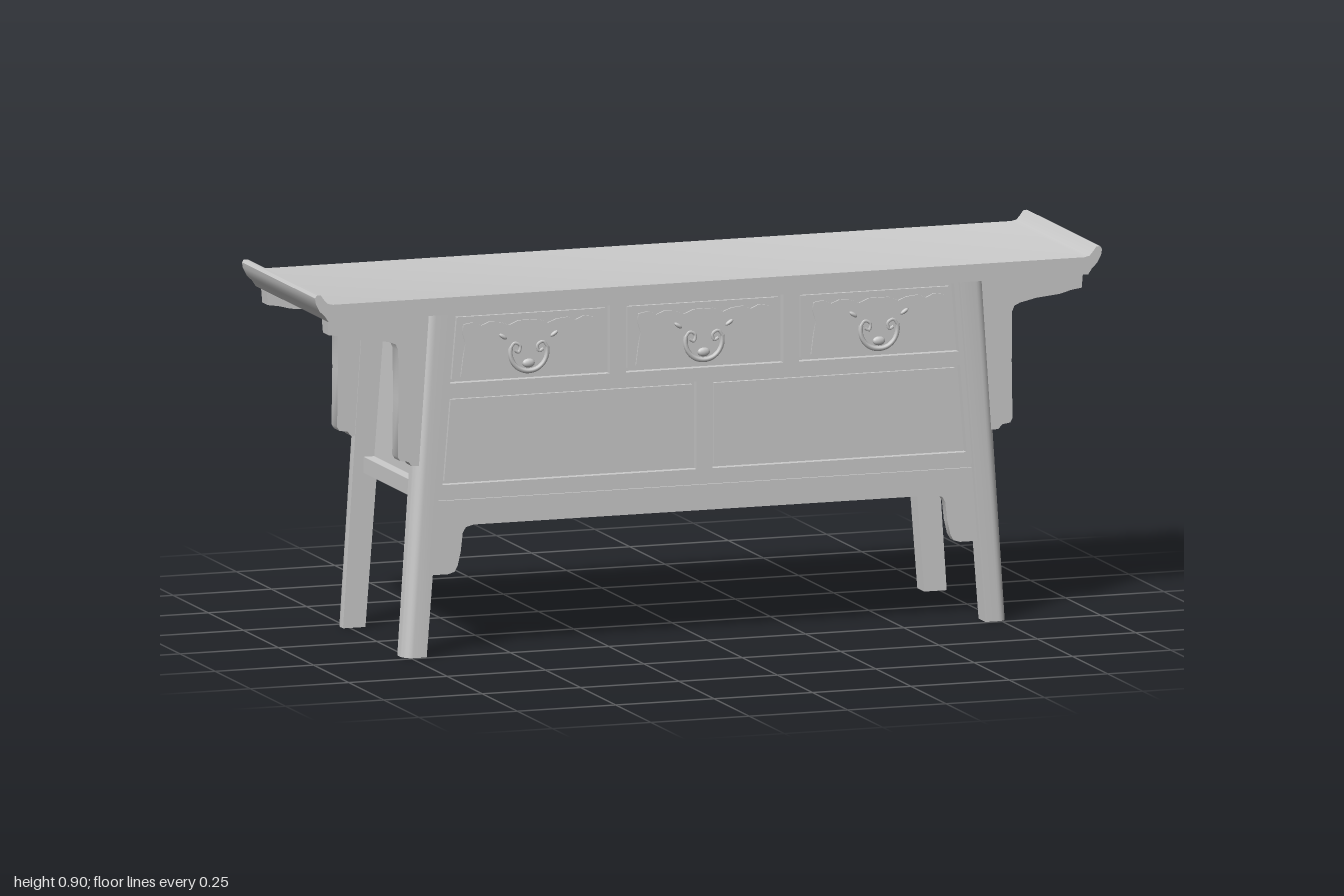
import * as THREE from 'three';
import { toCreasedNormals } from 'three/addons/utils/BufferGeometryUtils.js';

const wood = new THREE.MeshStandardMaterial({ color: 0xcccccc });
wood.name = 'plainGrey';

const TOP = 0.833;                          // underside of the table top
const inner = (y) => 0.71 - 0.078 * y;      // inner edge of the splayed legs
const outer = (y) => 0.767 - 0.066 * y;     // outer edge of the splayed legs
const V = (pts) => pts.map(([x, y]) => new THREE.Vector2(x, y));
const flip = (pts) => pts.map(([x, y]) => [-x, y]);
const both = (pts) => [...pts, ...flip(pts).reverse()];

export function createModel() {
  const model = new THREE.Group();
  model.name = 'altarTable';

  const add = (name, geo) => {
    const mesh = new THREE.Mesh(geo, wood);
    mesh.name = name;
    model.add(mesh);
    return mesh;
  };
  // Outline in x/y, extruded from z0 to z1
  const slab = (name, pts, z0, z1, holes = []) => {
    const shape = new THREE.Shape(V(pts));
    holes.forEach((h) => shape.holes.push(new THREE.Path(V(h))));
    const geo = new THREE.ExtrudeGeometry(shape, { depth: z1 - z0, bevelEnabled: false });
    geo.translate(0, 0, z0);
    return add(name, toCreasedNormals(geo, 0.6));
  };
  const box = (name, w, y0, y1, z0, z1) => {
    const geo = new THREE.BoxGeometry(w, y1 - y0, z1 - z0);
    geo.translate(0, (y0 + y1) / 2, (z0 + z1) / 2);
    return add(name, geo);
  };

  // Top with upturned ends
  slab('tableTop', both([
    [0.965, TOP], [0.975, 0.848], [0.988, 0.86], [0.998, 0.88], [1, 0.893], [0.995, 0.9],
    [0.985, 0.899], [0.977, 0.888], [0.968, 0.878], [0.955, 0.875],
  ]), -0.26, 0.26);

  // Splayed legs, rounded on the outward side, with stepped brackets
  for (const sx of [1, -1]) for (const sz of [1, -1]) {
    const section = [[0, 0.193], [1, 0.193], [1, 0.213]];
    for (let i = 1; i <= 6; i++) {
      const a = (i / 6) * Math.PI / 2;
      section.push([0.6 + 0.4 * Math.cos(a), 0.213 + 0.03 * Math.sin(a)]);
    }
    section.push([0, 0.243]);
    const shape = new THREE.Shape(V(section.map(([u, z]) => [sx * u, -sz * z])));
    const geo = new THREE.ExtrudeGeometry(shape, { depth: TOP, bevelEnabled: false });
    geo.rotateX(-Math.PI / 2);
    const p = geo.attributes.position;
    for (let i = 0; i < p.count; i++) {
      const y = p.getY(i), u = Math.abs(p.getX(i));
      p.setX(i, sx * (inner(y) + u * (outer(y) - inner(y))));
    }
    add('leg', toCreasedNormals(geo, 0.6));

    const bracket = [
      [0.69, TOP], [0.96, TOP], [0.957, 0.797], [0.93, 0.793], [0.9, 0.785], [0.84, 0.779],
      [0.8, 0.77], [0.786, 0.764], [0.78, 0.75], [0.779, 0.63], [0.781, 0.49], [0.775, 0.48],
      [0.755, 0.477], [0.745, 0.466], [0.715, 0.465],
    ];
    slab('sideBracket', sx > 0 ? bracket : flip(bracket), sz > 0 ? 0.196 : -0.236, sz > 0 ? 0.236 : -0.196);
  }

  // Cabinet body, bottom board and top rail
  slab('cabinetBody', both([[inner(0.4) + 0.01, 0.4], [inner(TOP) + 0.01, TOP]]), -0.21, 0.212);
  box('bottomBoard', 1.43, 0.375, 0.414, -0.193, 0.193);
  box('bottomBoardMiddle', 1.36, 0.375, 0.414, -0.21, 0.215);
  box('topRail', 1.36, 0.795, TOP, -0.193, 0.193);

  // Front frame with openings for the drawers
  const edge = (y) => inner(y) - 0.012;
  const sideTop = [[0.24, 0.66], [edge(0.66), 0.66], [edge(0.826), 0.826], [0.24, 0.826]];
  const lower = [[0.02, 0.414], [edge(0.414), 0.414], [edge(0.627), 0.627], [0.02, 0.627]];
  const openings = [
    sideTop, flip(sideTop), lower, flip(lower),
    [[-0.2, 0.66], [0.2, 0.66], [0.2, 0.826], [-0.2, 0.826]],
  ];
  slab('frontFrame', both([[inner(0.385), 0.385], [inner(TOP), TOP]]), 0.205, 0.232, openings);

  // Drawer fronts, shrunk a little inside each opening to leave a groove
  for (const o of openings) {
    const cx = (o[0][0] + o[1][0] + o[2][0] + o[3][0]) / 4;
    const cy = (o[0][1] + o[2][1]) / 2;
    slab('drawerFront', o.map(([x, y]) => [
      x - Math.sign(x - cx) * 0.008, y - Math.sign(y - cy) * 0.008,
    ]), 0.21, 0.221);
  }

  // Carved upper drawers: scalloped plate and curled pull
  for (const cx of [-0.445, 0, 0.445]) {
    const plate = both([
      [0.172, 0.674], [0.166, 0.72], [0.16, 0.755], [0.168, 0.78], [0.165, 0.8], [0.14, 0.804],
      [0.12, 0.795], [0.1, 0.803], [0.07, 0.8], [0.05, 0.792], [0.025, 0.802],
    ]).map(([x, y]) => [x + cx, y]);
    slab('carvedPlate', plate, 0.22, 0.226);

    const ring = new THREE.TorusGeometry(0.047, 0.006, 6, 24, Math.PI * 1.15);
    ring.rotateZ(-Math.PI * 1.075);
    ring.translate(cx, 0.725, 0.227);
    add('carvedRing', ring);
    for (const s of [1, -1]) {
      const curl = new THREE.CatmullRomCurve3([
        [0.047, 0.735], [0.036, 0.748], [0.022, 0.74], [0.026, 0.725], [0.036, 0.73],
      ].map(([x, y]) => new THREE.Vector3(cx + s * x, y, 0.227)));
      add('carvedCurl', new THREE.TubeGeometry(curl, 16, 0.004, 6));
      const leaf = new THREE.SphereGeometry(1, 10, 6);
      leaf.scale(0.012, 0.005, 0.005);
      leaf.rotateZ(s * 0.6);
      leaf.translate(cx + s * 0.065, 0.765, 0.226);
      add('carvedLeaf', leaf);
    }
    const bud = new THREE.SphereGeometry(1, 12, 8);
    bud.scale(0.016, 0.011, 0.007);
    bud.translate(cx, 0.697, 0.226);
    add('carvedBud', bud);
  }

  // Front apron with drop brackets beside the legs
  slab('frontApron', both([
    [0.585, 0.313], [0.605, 0.308], [0.613, 0.295], [0.618, 0.25], [0.626, 0.215], [0.634, 0.201],
    [0.65, 0.196], [inner(0.196), 0.196], [inner(0.375), 0.375],
  ]), 0.203, 0.228);
  box('apronRail', 2 * inner(0.38), 0.372, 0.386, 0.205, 0.222);

  return model;
}
